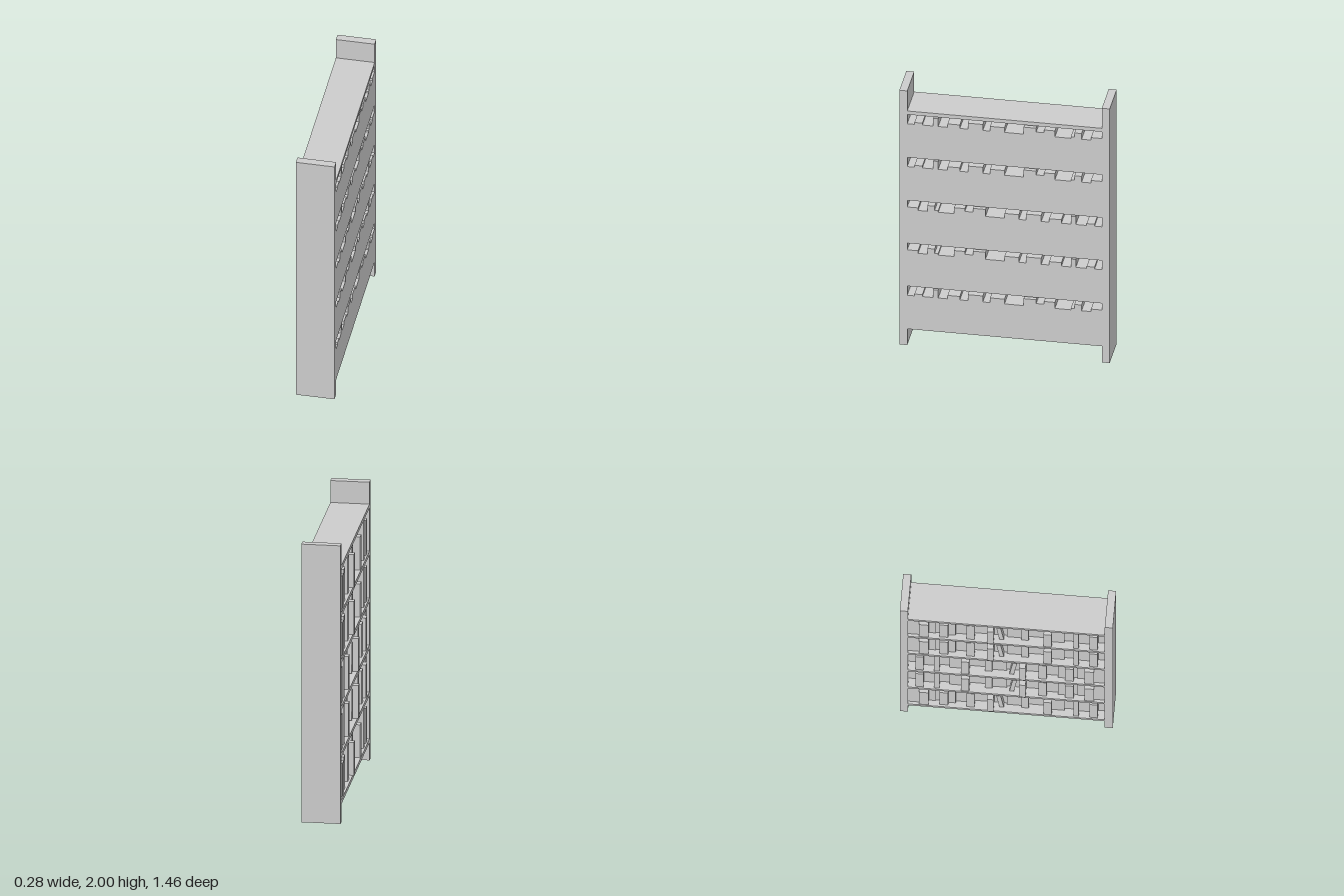
import * as THREE from 'three';

const material = new THREE.MeshStandardMaterial({ color: 0xcccccc, flatShading: true });

// Box given by its limits on each axis
function slab(name, x0, x1, y0, y1, z0, z1) {
  const mesh = new THREE.Mesh(new THREE.BoxGeometry(x1 - x0, y1 - y0, z1 - z0), material);
  mesh.position.set((x0 + x1) / 2, (y0 + y1) / 2, (z0 + z1) / 2);
  mesh.name = name;
  return mesh;
}

const FRONT = -0.135, BACK = 0.135, INNER = 0.677, LOW = 0.238;

// One row of books: [end z, height, x of the spine]; each starts where the last ended
const BOOKS = [
  [-0.6, 0.258, -0.115], [-0.535, LOW, -0.13], [-0.485, 0.283, -0.095],
  [-0.46, 0.25, -0.09], [-0.4, LOW, -0.12], [-0.35, LOW, -0.1],
  [-0.275, 0.285, -0.085], [-0.22, 0.263, -0.12], [-0.132, 0.293, -0.07],
  [-0.088, LOW, -0.142], [0, LOW, -0.07], [0.1, 0.275, -0.08],
  [0.15, LOW, -0.095], [0.255, 0.285, -0.065], [0.31, LOW, -0.13],
  [0.395, 0.265, -0.09], [0.46, LOW, -0.075], [0.495, 0.3, -0.125],
  [0.57, LOW, -0.085], [0.625, 0.253, -0.125], [INNER, LOW, -0.07],
];

function bookRow(y, flip) {
  const row = new THREE.Group();
  row.name = 'bookRow';
  let start = -INNER;
  for (const [end, height, spine] of BOOKS) {
    const a = flip ? -end : start, b = flip ? -start : end;
    row.add(slab('book', spine, BACK, y, y + height, a, b));
    start = end;
  }
  // Thin book tilted in the recess beside the most forward one
  const side = flip ? -1 : 1;
  const leaning = slab('leaningBook', -0.105, 0, y + 0.004, y + 0.22, side * -0.045 - 0.015, side * -0.045 + 0.015);
  leaning.rotation.x = side * -0.1;
  row.add(leaning);
  return row;
}

export function createModel() {
  const model = new THREE.Group();
  model.name = 'bookcase';

  // Upright end panels
  for (const s of [-1, 1]) {
    const z = [s * 0.675, s * 0.73].sort((a, b) => a - b);
    model.add(slab('endPanel', FRONT, BACK, 0, 2, ...z));
  }

  // Shelves, with mirrored book rows on the third and fourth shelf from the top
  for (let i = 0; i < 6; i++) {
    const y = 0.127 + i * 0.3375;
    model.add(slab('shelf', FRONT, BACK, y, y + 0.028, -INNER, INNER));
    if (i < 5) model.add(bookRow(y + 0.027, i === 1 || i === 2));
  }
  return model;
}
